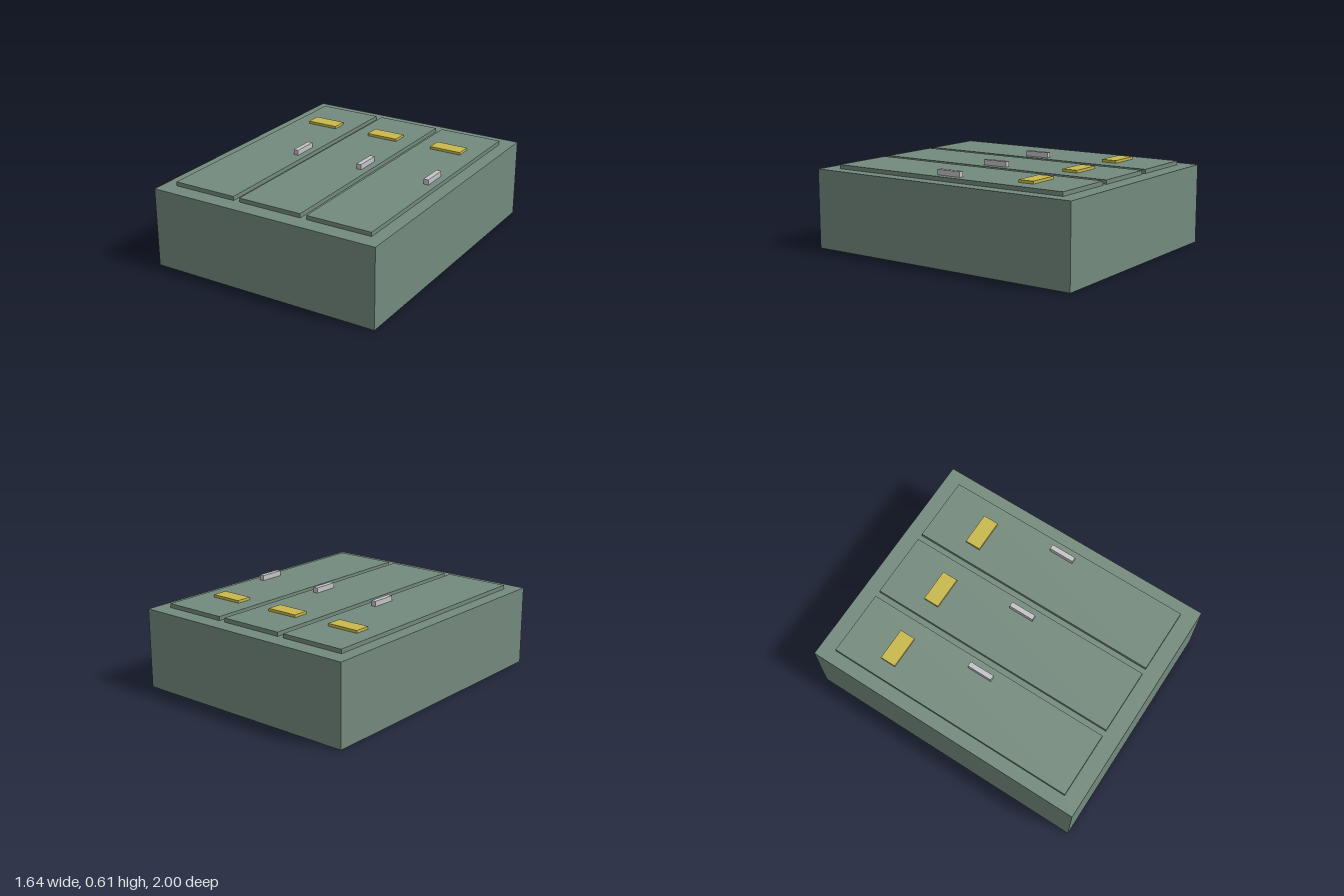
import * as THREE from 'three';

const paint = (name, color) => {
  const material = new THREE.MeshStandardMaterial({ color });
  material.name = name;
  return material;
};

// Box standing on height y
function box(name, material, [w, h, d], [x, y, z]) {
  const mesh = new THREE.Mesh(new THREE.BoxGeometry(w, h, d), material);
  mesh.name = name;
  mesh.position.set(x, y + h / 2, z);
  return mesh;
}

export function createModel() {
  const green = paint('greyGreen', 0x748a7d);
  const yellow = paint('labelYellow', 0xc8b84c);
  const grey = paint('handleGrey', 0xc4c4c8);

  const model = new THREE.Group();
  model.name = 'lockerCabinet';

  // Cabinet lying on its back
  const bodyTop = 0.545, doorThickness = 0.028;
  model.add(box('cabinetBody', green, [1.636, bodyTop, 2], [0, 0, 0]));

  // Three doors, each with a label plate and a handle
  const doorTop = bodyTop + doorThickness;
  ['right', 'middle', 'left'].forEach((side, i) => {
    const door = new THREE.Group();
    door.name = side + 'Door';
    door.position.x = (i - 1) * 0.5;
    door.add(
      box('doorPanel', green, [0.455, doorThickness, 1.776], [0, bodyTop, 0]),
      box('labelPlate', yellow, [0.227, 0.018, 0.109], [0, doorTop, -0.547]),
      box('handle', grey, [0.035, 0.036, 0.178], [0.16, doorTop, 0])
    );
    model.add(door);
  });
  return model;
}
